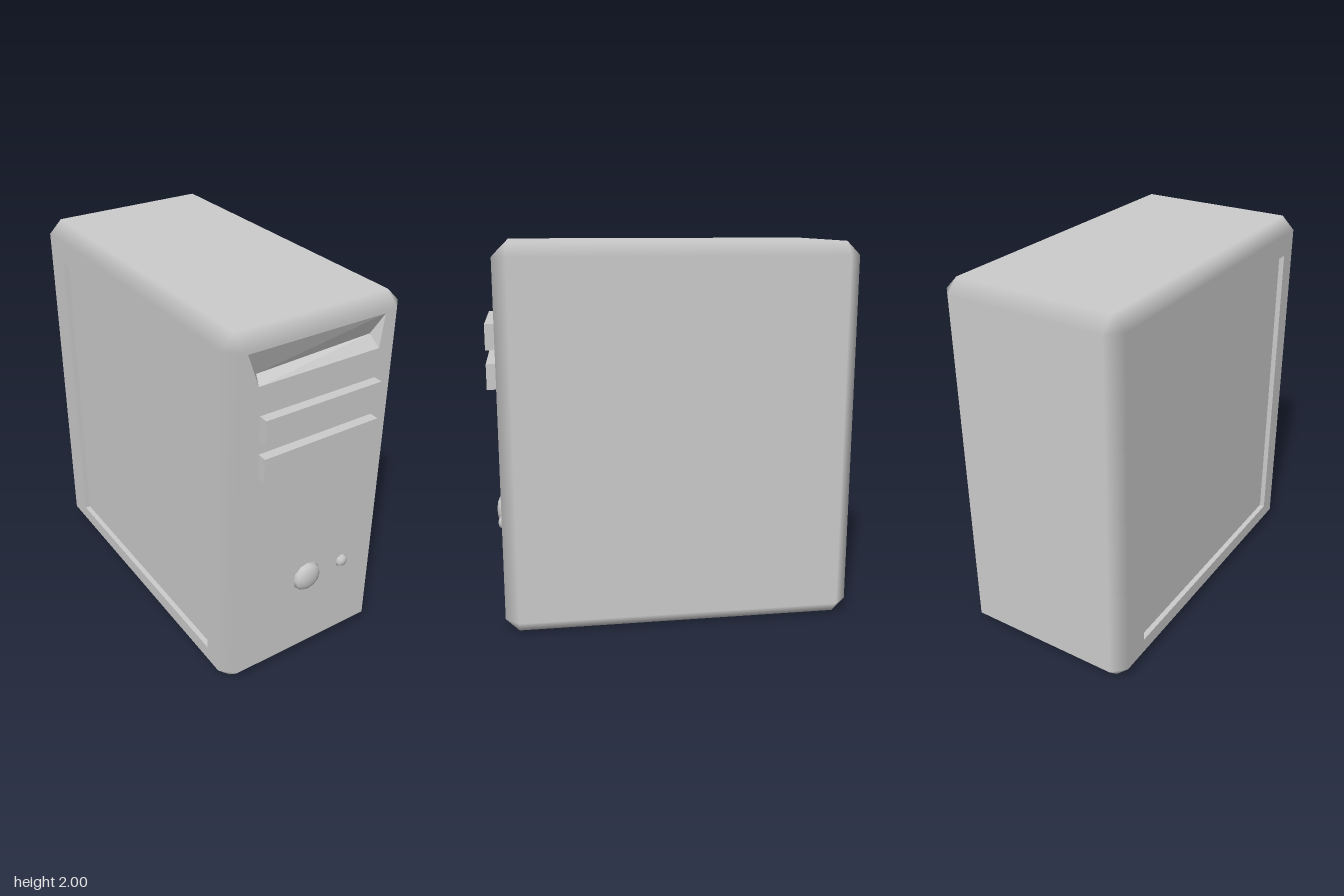
import * as THREE from 'three';
import { mergeGeometries } from 'three/addons/utils/BufferGeometryUtils.js';

const HALF = [0.495, 1, 0.92]; // half width, height and depth of the case
const BEVEL = 0.07;

// Flat-shaded polygons, each a counter-clockwise fan of [x, y, z] corners
function polygons(list) {
  const pos = [];
  for (const p of list) {
    for (let i = 1; i < p.length - 1; i++) pos.push(...p[0], ...p[i], ...p[i + 1]);
  }
  const geo = new THREE.BufferGeometry();
  geo.setAttribute('position', new THREE.Float32BufferAttribute(pos, 3));
  geo.computeVertexNormals();
  return geo;
}

// Flat rectangle facing +z, with an optional hole
function sheet(halfW, halfH, hole) {
  const w = halfW - BEVEL, h = halfH - BEVEL;
  const shape = new THREE.Shape([[-w, -h], [w, -h], [w, h], [-w, h]].map(p => new THREE.Vector2(...p)));
  if (hole) shape.holes.push(new THREE.Path(hole.map(p => new THREE.Vector2(...p))));
  const geo = new THREE.ShapeGeometry(shape).toNonIndexed();
  geo.deleteAttribute('uv');
  return geo;
}

// Bevelled edges and corners whose normals blend from face to face
function bevels() {
  const pos = [], nor = [];
  const corner = (axis, s) => s.map((v, i) => v * (HALF[i] - (i === axis ? 0 : BEVEL)));
  function triangle(verts) {
    const [a, b, c] = verts.map(v => new THREE.Vector3(...corner(v.axis, v.s)));
    const n = b.clone().sub(a).cross(c.clone().sub(a));
    const out = new THREE.Vector3();
    for (const v of verts) out.setComponent(v.axis, v.s[v.axis]);
    const order = n.dot(out) < 0 ? [verts[0], verts[2], verts[1]] : verts;
    for (const v of order) {
      pos.push(...corner(v.axis, v.s));
      nor.push(...v.s.map((k, i) => (i === v.axis ? k : 0)));
    }
  }
  for (let c = 0; c < 3; c++) {
    const a = (c + 1) % 3, b = (c + 2) % 3;
    for (const sa of [-1, 1]) for (const sb of [-1, 1]) {
      const vert = (axis, end) => {
        const s = [0, 0, 0];
        s[a] = sa; s[b] = sb; s[c] = end;
        return { axis, s };
      };
      triangle([vert(a, -1), vert(b, -1), vert(b, 1)]);
      triangle([vert(a, -1), vert(b, 1), vert(a, 1)]);
    }
  }
  for (const x of [-1, 1]) for (const y of [-1, 1]) for (const z of [-1, 1]) {
    triangle([0, 1, 2].map(axis => ({ axis, s: [x, y, z] })));
  }
  const geo = new THREE.BufferGeometry();
  geo.setAttribute('position', new THREE.Float32BufferAttribute(pos, 3));
  geo.setAttribute('normal', new THREE.Float32BufferAttribute(nor, 3));
  return geo;
}

export function createModel() {
  const model = new THREE.Group();
  model.name = 'computerTower';
  const grey = new THREE.MeshStandardMaterial({ color: 0xcccccc });
  grey.name = 'case grey';

  const tower = new THREE.Group();
  tower.name = 'tower';
  tower.position.set(0, 1, -0.025);
  model.add(tower);

  const add = (name, geo, x = 0, y = 0, z = 0) => {
    const mesh = new THREE.Mesh(geo, grey);
    mesh.name = name;
    mesh.position.set(x, y, z);
    tower.add(mesh);
    return mesh;
  };

  // Case shell, with openings for the hand grip and the side panel
  const [hx, hy, hz] = HALF;
  const gripHole = [[-0.34, 0.75], [0.34, 0.75], [0.36, 0.92], [-0.4, 0.92]];
  const panelHole = [[-0.7, -0.85], [0.75, -0.85], [0.75, 0.81], [-0.7, 0.81]];
  add('caseShell', mergeGeometries([
    bevels(),
    sheet(hx, hy, gripHole).translate(0, 0, hz),
    sheet(hx, hy).rotateY(Math.PI).translate(0, 0, -hz),
    sheet(hz, hy).rotateY(Math.PI / 2).translate(hx, 0, 0),
    sheet(hz, hy, panelHole).rotateY(-Math.PI / 2).translate(-hx, 0, 0),
    sheet(hx, hz).rotateX(-Math.PI / 2).translate(0, hy, 0),
    sheet(hx, hz).rotateX(Math.PI / 2).translate(0, -hy, 0),
  ]));

  // Hand grip scooped into the top of the front
  const [d, c, b, a] = gripHole.map(([x, y]) => [x, y, hz]);
  const e = [-0.32, 0.785, hz - 0.05], f = [0.32, 0.81, hz - 0.05];
  add('handGrip', polygons([[d, c, f, e], [c, b, f], [b, a, e, f], [a, d, e]]));

  // Sunken side panel
  const rim = panelHole.map(([z, y]) => [-hx, y, z]);
  const floor = panelHole.map(([z, y]) => [-hx + 0.028, y, z]);
  const walls = rim.map((p, i) => [p, rim[(i + 1) % 4], floor[(i + 1) % 4], floor[i]]);
  add('sidePanel', polygons([floor, ...walls]));

  // Drive bay covers
  for (const y of [0.535, 0.335]) {
    add('driveBay', new THREE.BoxGeometry(0.66, 0.13, 0.06), 0, y, hz + 0.02);
  }

  // Domed buttons
  const button = (name, x, r, sides, depth) => {
    const dome = new THREE.SphereGeometry(r, sides, sides / 2).rotateX(Math.PI / 2);
    add(name, dome, x, -0.465, hz).scale.z = depth / r;
  };
  button('powerButton', 0, 0.084, 12, 0.036);
  button('resetButton', 0.23, 0.038, 8, 0.025);

  return model;
}
